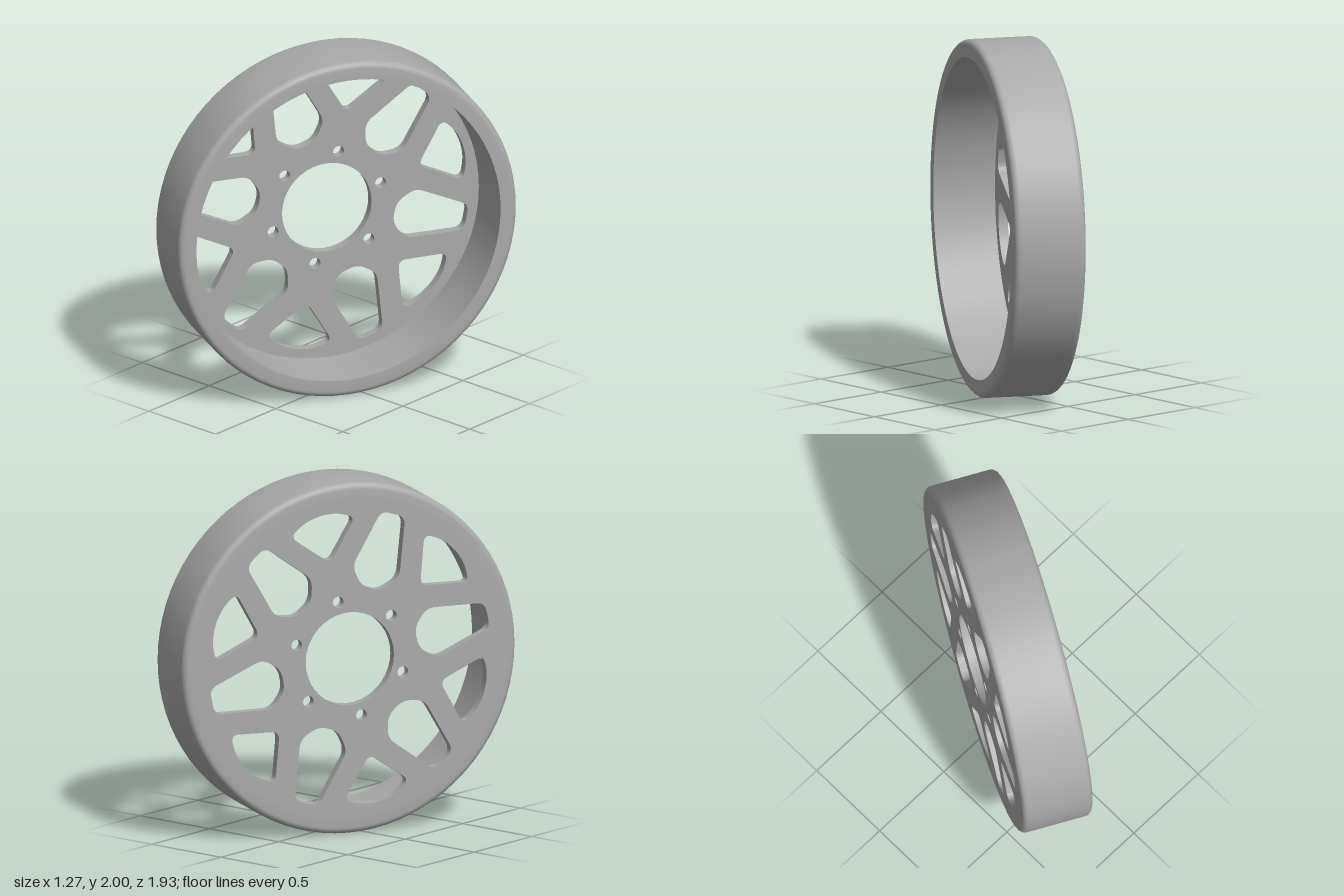
import * as THREE from 'three';
import { toCreasedNormals } from 'three/addons/utils/BufferGeometryUtils.js';

const HALF_WIDTH = 0.204, INNER_R = 0.9, PLATE_FRONT = -0.15, FILLET = 0.035;
const rad = THREE.MathUtils.degToRad;

// Closed path through the corners, each rounded off; angle turns the (along, across) corners.
function roundedHole(corners, radius, angle) {
  const pts = corners.map(([a, t]) => new THREE.Vector2(a, t).rotateAround(new THREE.Vector2(), angle));
  const path = new THREE.Path();
  const n = pts.length;
  const toward = (p, q) => p.clone().add(q.clone().sub(p).setLength(Math.min(radius, p.distanceTo(q) * 0.45)));
  pts.forEach((p, i) => {
    const a = toward(p, pts[(i + n - 1) % n]);
    const b = toward(p, pts[(i + 1) % n]);
    if (i === 0) path.moveTo(a.x, a.y); else path.lineTo(a.x, a.y);
    path.quadraticCurveTo(p.x, p.y, b.x, b.y);
  });
  path.closePath();
  return path;
}

function circle(x, y, r) {
  const path = new THREE.Path();
  path.absarc(x, y, r, 0, Math.PI * 2, true);
  return path;
}

export function createModel() {
  const metal = new THREE.MeshStandardMaterial({ color: 0xaaaaaa });
  metal.name = 'grey metal';

  const wheel = new THREE.Group();
  wheel.name = 'wheel';

  // Rim: flat lips, rounded outer edges, open barrel towards the front
  const profile = [new THREE.Vector2(INNER_R, -HALF_WIDTH)];
  for (const side of [-1, 1]) {
    for (let i = 0; i <= 5; i++) {
      const a = (side < 0 ? i / 5 - 1 : i / 5) * Math.PI / 2;
      profile.push(new THREE.Vector2(
        1 - FILLET + FILLET * Math.cos(a),
        side * (HALF_WIDTH - FILLET) + FILLET * Math.sin(a)));
    }
  }
  profile.push(new THREE.Vector2(INNER_R, HALF_WIDTH), new THREE.Vector2(INNER_R, PLATE_FRONT - 0.01));
  const rimGeometry = toCreasedNormals(new THREE.LatheGeometry(profile, 80), rad(35));
  rimGeometry.rotateX(Math.PI / 2);
  const rim = new THREE.Mesh(rimGeometry, metal);
  rim.name = 'rim';
  wheel.add(rim);

  // Spoke plate: hub bore, bolt holes, windows between and inside the forked spokes
  const plate = new THREE.Shape();
  plate.absarc(0, 0, INNER_R + 0.004, 0, Math.PI * 2, false);
  plate.holes.push(circle(0, 0, 0.265));
  const largeWindow = [[0.41, -0.06], [0.505, -0.148], [0.845, -0.075], [0.845, 0.075], [0.505, 0.148], [0.41, 0.06]];
  const forkWindow = [[0.568, 0], [0.782, -0.2], [0.836, -0.1], [0.85, 0], [0.836, 0.1], [0.782, 0.2]];
  for (let i = 0; i < 6; i++) {
    const angle = rad(18 + i * 60);
    plate.holes.push(
      circle(0.335 * Math.cos(angle), 0.335 * Math.sin(angle), 0.032),
      roundedHole(forkWindow, 0.05, angle),
      roundedHole(largeWindow, 0.05, angle + Math.PI / 6));
  }
  const plateGeometry = new THREE.ExtrudeGeometry(plate, {
    depth: HALF_WIDTH + PLATE_FRONT, bevelEnabled: false, curveSegments: 20 });
  plateGeometry.translate(0, 0, -HALF_WIDTH);
  const spokes = new THREE.Mesh(toCreasedNormals(plateGeometry, rad(35)), metal);
  spokes.name = 'spokePlate';
  wheel.add(spokes);

  // Stand the wheel on the ground, turned about the vertical
  wheel.rotation.y = rad(62);
  wheel.position.y = 1;

  const model = new THREE.Group();
  model.name = 'wheelModel';
  model.add(wheel);
  return model;
}
